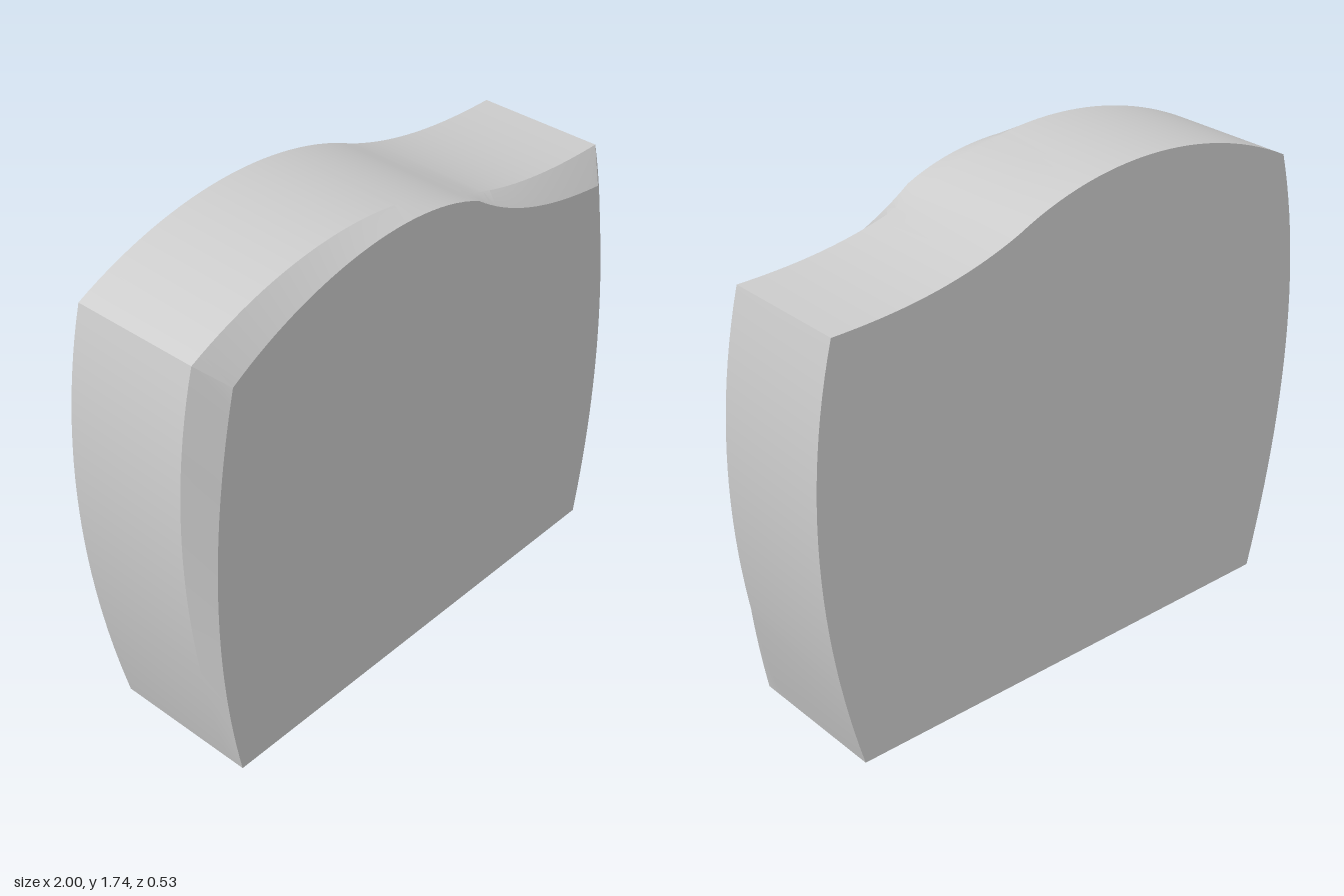
import * as THREE from 'three';
import { toCreasedNormals } from 'three/addons/utils/BufferGeometryUtils.js';

const v = (x, y) => new THREE.Vector2(x, y);

// Closed counter-clockwise outline: base, right side, wavy top, left side
function outline({ right, dip, crest, left }) {
  const sides = [
    [new THREE.LineCurve(v(-0.87, 0), v(0.87, 0)), 4],
    [new THREE.QuadraticBezierCurve(...right), 24],
    [new THREE.CubicBezierCurve(...dip), 20],
    [new THREE.CubicBezierCurve(...crest), 28],
    [new THREE.QuadraticBezierCurve(...left), 24],
  ];
  return sides.flatMap(([curve, n]) => curve.getPoints(n).slice(0, -1));
}

const outer = outline({
  right: [v(0.87, 0), v(1.105, 0.83), v(0.92, 1.505)],
  dip: [v(0.92, 1.505), v(0.68, 1.505), v(0.45, 1.53), v(0.23, 1.62)],
  crest: [v(0.23, 1.62), v(-0.12, 1.79), v(-0.55, 1.77), v(-0.92, 1.58)],
  left: [v(-0.92, 1.58), v(-1.105, 0.93), v(-0.87, 0)],
});

const inner = outline({
  right: [v(0.87, 0), v(1.005, 0.72), v(0.86, 1.4)],
  dip: [v(0.86, 1.4), v(0.64, 1.425), v(0.42, 1.48), v(0.23, 1.62)],
  crest: [v(0.23, 1.62), v(-0.09, 1.768), v(-0.53, 1.68), v(-0.83, 1.49)],
  left: [v(-0.83, 1.49), v(-1.015, 0.75), v(-0.87, 0)],
});

// Loft through matching outlines, then cap both ends
function loft(sections) {
  const n = sections[0].points.length;
  const positions = [];
  const index = [];
  for (const { points, z } of sections) for (const p of points) positions.push(p.x, p.y, z);
  for (let s = 0; s < sections.length - 1; s++) {
    for (let i = 0; i < n; i++) {
      const a = s * n + i, b = s * n + (i + 1) % n;
      index.push(a, b, b + n, a, b + n, a + n);
    }
  }
  const last = (sections.length - 1) * n;
  for (const [a, b, c] of THREE.ShapeUtils.triangulateShape(sections[0].points, [])) index.push(a, c, b);
  for (const [a, b, c] of THREE.ShapeUtils.triangulateShape(sections[sections.length - 1].points, [])) {
    index.push(last + a, last + b, last + c);
  }
  const geometry = new THREE.BufferGeometry();
  geometry.setAttribute('position', new THREE.Float32BufferAttribute(positions, 3));
  geometry.setIndex(index);
  return toCreasedNormals(geometry, 0.4);
}

export function createModel() {
  const group = new THREE.Group();
  group.name = 'wavyToppedBlock';
  // Thick slab whose front edge has a bevel that narrows to nothing mid-top and at the base
  const slab = new THREE.Mesh(
    loft([
      { points: outer, z: -0.265 },
      { points: outer, z: 0.2 },
      { points: inner, z: 0.265 },
    ]),
    new THREE.MeshStandardMaterial({ color: 0xcccccc }),
  );
  slab.name = 'bevelledSlab';
  group.add(slab);
  return group;
}
